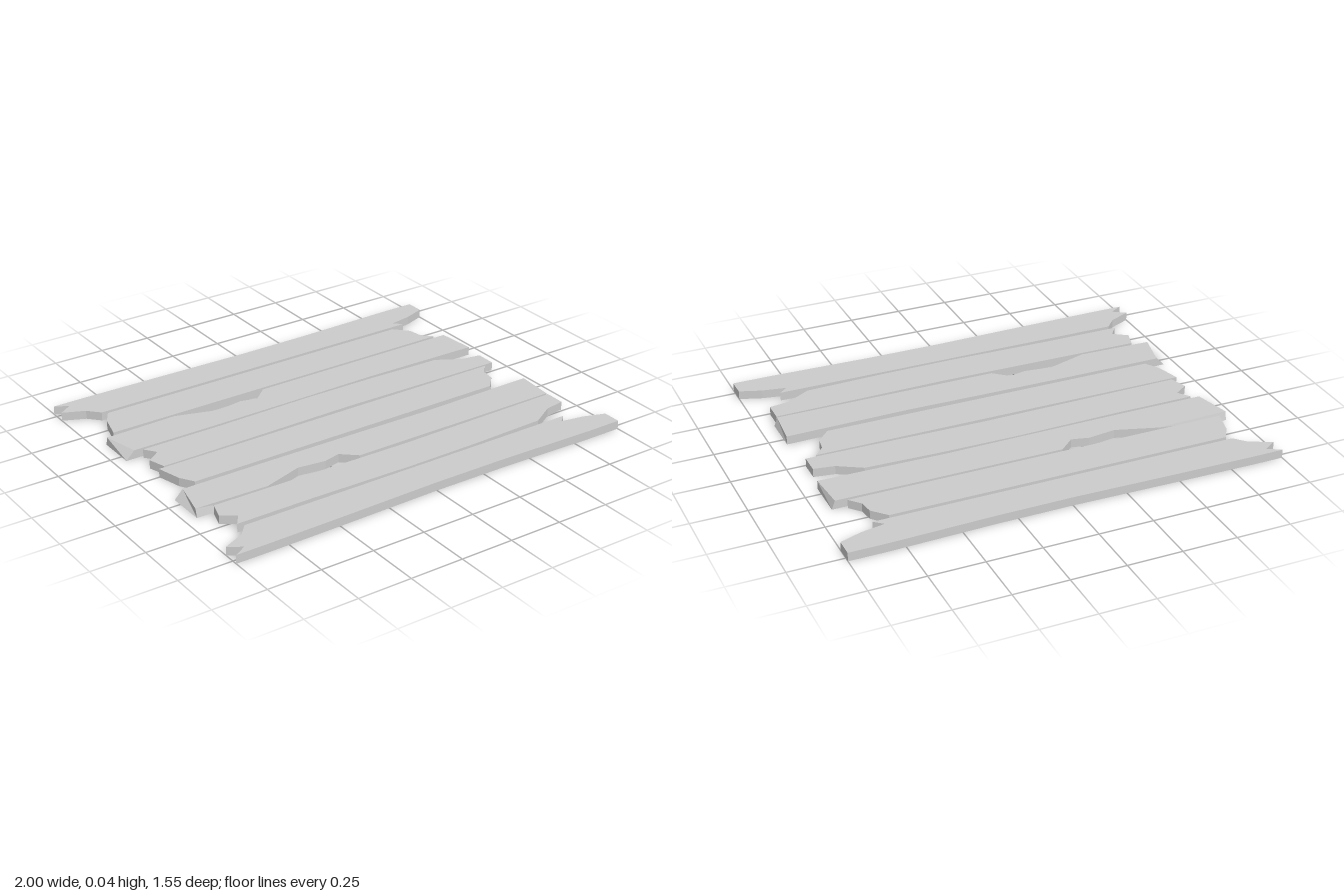
import * as THREE from 'three';

const THICKNESS = 0.04;

// Plank outlines as [x, z], each with the z line its twin is mirrored to (z -> twin - z)
const planks = [
  { name: 'outerPlank', twin: 0, outline: [
    [-1, -0.775], [-0.94, -0.74], [-1, -0.7], [-0.9, -0.655], [-0.85, -0.6], [0.83, -0.6], [0.79, -0.635],
    [0.9, -0.655], [1, -0.69], [1, -0.775], [0.83, -0.775], [0.35, -0.762], [0, -0.76], [-0.5, -0.77], [-0.85, -0.775]] },
  { name: 'taperedPlank', twin: -0.4, outline: [
    [-0.83, -0.58], [0.75, -0.58], [0.81, -0.515], [0.82, -0.45], [0.865, -0.4], [-0.9, -0.4], [-0.87, -0.515]] },
  // the ends of this plank slope: "top" gives the upper position of a corner
  { name: 'notchedPlank', twin: 0, outline: [
    [-0.945, -0.385], [-0.6, -0.385], [-0.41, -0.325], [-0.28, -0.342], [-0.2, -0.323], [-0.13, -0.385],
    [0.93, -0.385], [0.93, -0.205], [0.35, -0.215], [0, -0.21], [-0.5, -0.205], [-0.945, -0.205]],
    top: [[0, -0.945, -0.375], [6, 0.915, -0.385], [11, -0.905, -0.205]] },
  { name: 'splitPlank', twin: 0.385, outline: [
    [-0.87, -0.19], [-0.83, -0.135], [-0.895, -0.09], [-0.87, -0.01], [-0.45, -0.015], [0.1, -0.022], [0.55, -0.015],
    [0.915, -0.01], [0.915, -0.105], [0.82, -0.12], [0.71, -0.185], [0.35, -0.197], [0, -0.2], [-0.5, -0.19]] },
];

function plankGeometry({ outline, top = [], twin }, mirrored) {
  const place = ([x, z]) => [x, mirrored ? twin - z : z];
  const points = outline.map((p) => {
    const [x, z] = place(p);
    return new THREE.Vector2(x, -z);
  });
  const geo = new THREE.ExtrudeGeometry(new THREE.Shape(points), { depth: THICKNESS, bevelEnabled: false });
  geo.rotateX(-Math.PI / 2);

  // Pull the upper corners inward for sloped ends
  const pos = geo.attributes.position;
  for (const [index, tx, tz] of top) {
    const [x, z] = place(outline[index]);
    const [nx, nz] = place([tx, tz]);
    for (let i = 0; i < pos.count; i++) {
      const hit = Math.hypot(pos.getX(i) - x, pos.getZ(i) - z) < 1e-4;
      if (hit && pos.getY(i) > THICKNESS / 2) pos.setXYZ(i, nx, THICKNESS, nz);
    }
  }
  geo.computeVertexNormals();
  return geo;
}

export function createModel() {
  const model = new THREE.Group();
  model.name = 'brokenPlanks';
  const wood = new THREE.MeshStandardMaterial({ color: 0xcccccc, flatShading: true });
  for (const plank of planks) {
    for (const mirrored of [false, true]) {
      const mesh = new THREE.Mesh(plankGeometry(plank, mirrored), wood);
      mesh.name = plank.name + (mirrored ? 'Front' : 'Back');
      model.add(mesh);
    }
  }
  return model;
}
